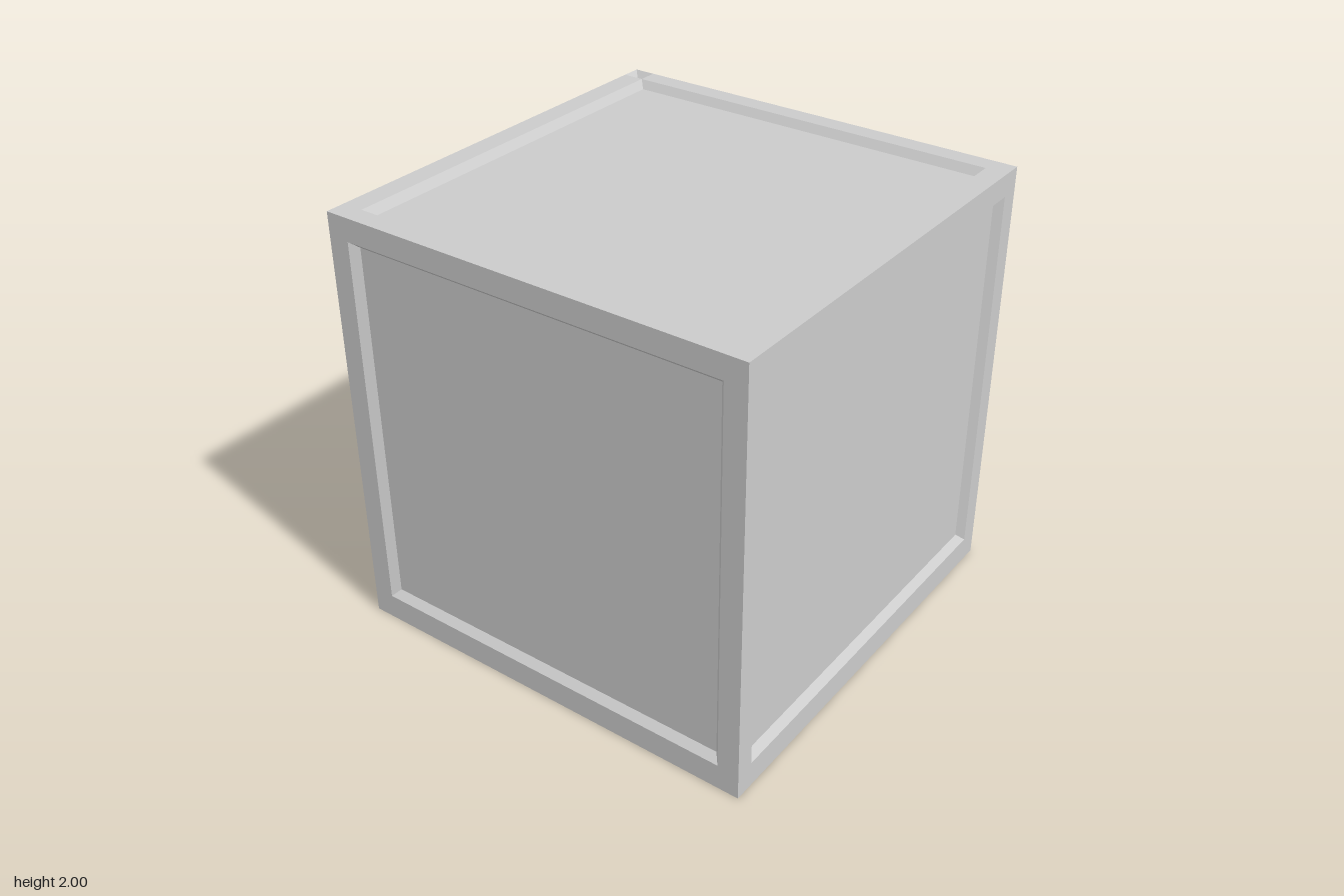
import * as THREE from 'three';

const DEPTH = 0.035, BEVEL = 0.03;
const material = new THREE.MeshStandardMaterial({ color: 0xcccccc, flatShading: true });

// Mesh from four-cornered faces, each listed counter-clockwise
function quadMesh(name, quads) {
  const points = quads.flatMap(([a, b, c, d]) => [a, b, c, a, c, d]);
  const geometry = new THREE.BufferGeometry();
  geometry.setAttribute('position', new THREE.Float32BufferAttribute(points.flat(), 3));
  geometry.computeVertexNormals();
  const mesh = new THREE.Mesh(geometry, material);
  mesh.name = name;
  return mesh;
}

// Rectangle's corners, counter-clockwise from lower left
const corners = (l, r, b, t, z) => [[l, b, z], [r, b, z], [r, t, z], [l, t, z]];

// Sunken rectangle with sloping walls; inset = floor margin at left, right, bottom, top
function recess(name, [l, r, b, t], inset) {
  const rim = corners(l, r, b, t, 1);
  const floor = corners(l + inset[0], r - inset[1], b + inset[2], t - inset[3], 1 - DEPTH);
  const walls = rim.map((p, i) => {
    const j = (i + 1) % 4;
    return [p, rim[j], floor[j], floor[i]];
  });
  return quadMesh(name, [floor, ...walls]);
}

// One cube side: four frame bars around a recessed panel.
// notch: -1 or 1 sinks the upper left or upper right frame corner, 0 leaves it flat
function cubeSide(name, [l, r, b, t], notch = 0) {
  const side = new THREE.Group();
  side.name = name;
  side.add(quadMesh('frame', [
    corners(-1, 1, -1, b, 1),
    corners(notch < 0 ? l : -1, notch > 0 ? r : 1, t, 1, 1),
    corners(-1, l, b, t, 1),
    corners(r, 1, b, t, 1),
  ]));
  side.add(recess('panel', [l, r, b, t], [BEVEL, BEVEL, BEVEL, BEVEL]));
  if (notch < 0) side.add(recess('cornerNotch', [-1, l, t, 1], [BEVEL, 0, 0, BEVEL]));
  if (notch > 0) side.add(recess('cornerNotch', [r, 1, t, 1], [0, BEVEL, 0, BEVEL]));
  side.position.y = 1;
  return side;
}

export function createModel() {
  const crate = new THREE.Group();
  crate.name = 'crate';

  // Four upright sides
  ['frontSide', 'leftSide', 'backSide', 'rightSide'].forEach((name, i) => {
    const w = i % 2 ? 0.91 : 0.9;
    const side = cubeSide(name, [-w, w, -0.88, 0.895]);
    side.rotation.y = i * Math.PI / 2;
    crate.add(side);
  });

  // Lid and base, with sunken corners diagonally opposite each other
  for (const [name, dir] of [['lid', -1], ['base', 1]]) {
    const side = cubeSide(name, [-0.9, 0.9, -0.91, 0.91], dir);
    side.rotation.x = dir * Math.PI / 2;
    crate.add(side);
  }
  return crate;
}
